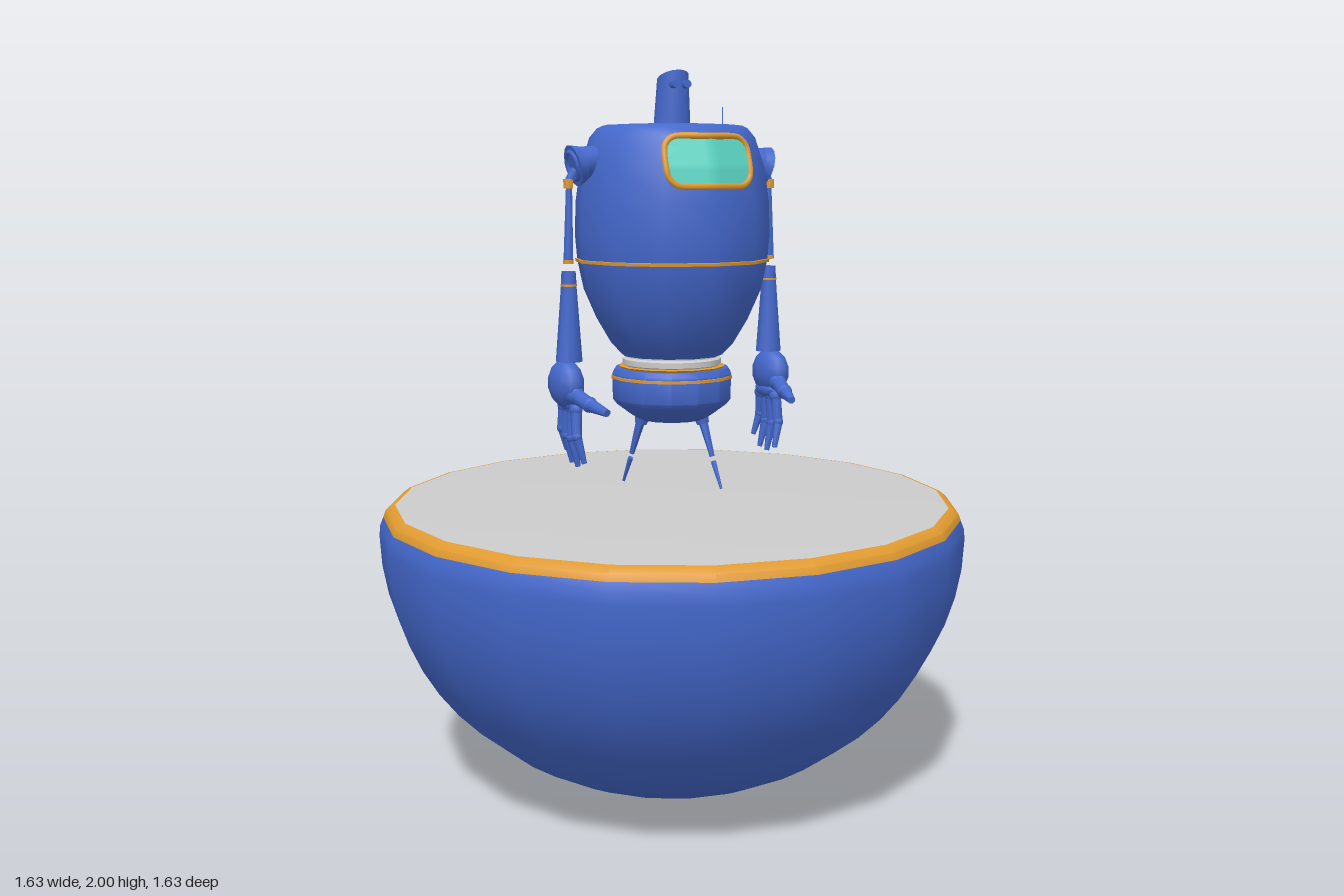
import * as THREE from 'three';
import { toCreasedNormals } from 'three/addons/utils/BufferGeometryUtils.js';

const paint = (color) => new THREE.MeshStandardMaterial({ color });
const V = (x, y, z) => new THREE.Vector3(x, y, z);

export function createModel() {
  const root = new THREE.Group();
  const blue = paint(0x4468cc), orange = paint(0xe09a30), grey = paint(0xcccccc), teal = paint(0x5cd6c4);
  teal.side = THREE.DoubleSide;

  const add = (name, geo, mat, parent = root) => {
    const mesh = new THREE.Mesh(geo, mat);
    mesh.name = name;
    parent.add(mesh);
    return mesh;
  };
  // Turned part; profile runs from bottom to top as [radius, y]
  const turned = (name, profile, sides, mat, crease = 0.65) => add(name, toCreasedNormals(
    new THREE.LatheGeometry(profile.map(([r, y]) => new THREE.Vector2(r, y)), sides), crease), mat);
  // Tapered rod between two points
  const rod = (name, a, b, ra, rb, mat, parent, sides = 8) => {
    const mesh = add(name, toCreasedNormals(new THREE.CylinderGeometry(rb, ra, a.distanceTo(b), sides), 0.9), mat, parent);
    mesh.position.copy(a).add(b).multiplyScalar(0.5);
    mesh.quaternion.setFromUnitVectors(V(0, 1, 0), b.clone().sub(a).normalize());
    return mesh;
  };
  const ball = (name, p, r, mat, parent, sx = 1, sy = 1, sz = 1) => {
    const mesh = add(name, new THREE.SphereGeometry(r, 10, 7), mat, parent);
    mesh.position.copy(p);
    mesh.scale.set(sx, sy, sz);
    return mesh;
  };

  // Half-sphere base with chamfered rim and flat lid
  const bowl = [];
  for (let i = 0; i <= 14; i++) {
    const t = (i / 14) * Math.PI / 2;
    bowl.push([0.815 * Math.sin(t), 0.735 * (1 - Math.cos(t))]);
  }
  bowl.push([0.813, 0.765], [0.803, 0.79]);
  turned('bowl', bowl, 20, blue);
  turned('bowlRim', [[0.803, 0.79], [0.797, 0.808], [0.778, 0.822], [0.77, 0.823]], 20, orange);
  turned('bowlLid', [[0.775, 0.822], [0.74, 0.824], [0, 0.825]], 20, grey);

  // Barrel torso with a recessed neck socket
  const torso = [[0, 1.23], [0.14, 1.23], [0.17, 1.262], [0.21, 1.33], [0.245, 1.41], [0.262, 1.49],
    [0.268, 1.56], [0.265, 1.65], [0.252, 1.74], [0.226, 1.82], [0.205, 1.845], [0.19, 1.852],
    [0.15, 1.854], [0.147, 1.848], [0.07, 1.848], [0.064, 1.82], [0, 1.82]];
  turned('torso', torso, 12, blue);
  turned('torsoSeam', [[0.255, 1.484], [0.267, 1.486], [0.268, 1.494], [0.255, 1.496]], 12, orange);

  // Waist and hips
  turned('waist', [[0.125, 1.17], [0.13, 1.2], [0.137, 1.205], [0.137, 1.22], [0.128, 1.225], [0.128, 1.24]], 16, grey);
  turned('hips', [[0, 1.045], [0.09, 1.05], [0.115, 1.065], [0.155, 1.095], [0.167, 1.11], [0.168, 1.18],
    [0.158, 1.195], [0.14, 1.195], [0.12, 1.18]], 14, blue);
  turned('hipsSeam', [[0.16, 1.166], [0.1705, 1.167], [0.1705, 1.175], [0.16, 1.176]], 14, orange);
  turned('waistCollar', [[0.14, 1.193], [0.148, 1.2], [0.14, 1.203], [0.125, 1.2]], 14, orange);

  // Slant-topped head with two small eyes and an aerial
  const head = new THREE.CylinderGeometry(0.043, 0.053, 0.16, 14, 2);
  const hp = head.attributes.position;
  for (let i = 0; i < hp.count; i++) {
    const up = (hp.getY(i) + 0.08) / 0.16;
    hp.setZ(i, hp.getZ(i) + 0.006 * up);
    hp.setY(i, 1.82 + up * (0.157 + 0.42 * hp.getZ(i)));
  }
  add('head', toCreasedNormals(head, 0.7), blue);
  for (const s of [-1, 1]) {
    rod('eye', V(s * 0.017, 1.958, 0.03), V(s * 0.017, 1.96, 0.064), 0.011, 0.011, blue, root, 10);
  }
  rod('aerial', V(0.165, 1.84, -0.02), V(0.165, 1.905, -0.02), 0.0015, 0.0015, blue, root, 5);

  // Visor wrapped over the faceted front of the torso
  const frontZ = (x, y) => {
    const k = torso.findIndex((p, i) => i > 1 && p[1] >= y);
    const [r0, y0] = torso[k - 1], [r1, y1] = torso[k];
    const r = r0 + (r1 - r0) * (y - y0) / (y1 - y0), ax = Math.abs(x);
    return Math.min(r - 0.268 * ax, 1.366 * r - ax);
  };
  const HX = 0.121, HY = 0.064, CR = 0.04, CY = 1.755;
  const pane = new THREE.PlaneGeometry(2, 2 * HY, 12, 16);
  const pp = pane.attributes.position;
  for (let i = 0; i < pp.count; i++) {
    const dy = Math.max(0, Math.abs(pp.getY(i)) - (HY - CR));
    const x = pp.getX(i) * (HX - CR + Math.sqrt(Math.max(0, CR * CR - dy * dy)));
    const y = CY + pp.getY(i);
    pp.setXYZ(i, x, y, frontZ(x, y) + 0.006);
  }
  pane.computeVertexNormals();
  add('visorPane', pane, teal);
  const outline = [];
  for (let c = 0; c < 4; c++) {
    const sx = c === 0 || c === 3 ? 1 : -1, sy = c < 2 ? 1 : -1;
    for (let k = 0; k <= 4; k++) {
      const a = (c + k / 4) * Math.PI / 2;
      const x = sx * (HX - CR) + CR * Math.cos(a), y = CY + sy * (HY - CR) + CR * Math.sin(a);
      outline.push(V(x, y, frontZ(x, y) + 0.004));
    }
    if (c % 2 === 0) {
      const y = CY + sy * HY;
      outline.push(V(0, y, frontZ(0, y) + 0.004));
    }
  }
  add('visorFrame', new THREE.TubeGeometry(new THREE.CatmullRomCurve3(outline, true), 72, 0.009, 6, true), orange);

  // Arms, built once per side
  for (const s of [-1, 1]) {
    const arm = new THREE.Group();
    arm.name = s > 0 ? 'leftArm' : 'rightArm';
    root.add(arm);
    const P = (x, y, z) => V(s * x, y, z);

    // Flared shoulder with a ringed socket
    rod('shoulder', P(0.2, 1.765, 0), P(0.272, 1.748, 0), 0.036, 0.047, blue, arm, 14);
    rod('shoulderFlare', P(0.265, 1.75, 0), P(0.288, 1.744, 0), 0.047, 0.056, blue, arm, 14);
    const ring = add('shoulderRing', new THREE.TorusGeometry(0.037, 0.007, 6, 14), blue, arm);
    ring.position.copy(P(0.289, 1.744, 0));
    ring.quaternion.setFromUnitVectors(V(0, 0, 1), P(0.966, -0.26, 0).normalize());

    // Upper arm, elbow and forearm
    rod('shoulderJoint', P(0.303, 1.685, 0), P(0.303, 1.71, 0), 0.014, 0.014, orange, arm);
    rod('jointPin', P(0.285, 1.735, 0), P(0.303, 1.7, 0), 0.012, 0.012, blue, arm);
    rod('upperArm', P(0.305, 1.495, 0), P(0.301, 1.685, 0), 0.014, 0.009, blue, arm);
    rod('elbowBand', P(0.305, 1.487, 0), P(0.305, 1.497, 0), 0.015, 0.015, orange, arm);
    rod('forearmCap', P(0.305, 1.433, 0), P(0.305, 1.467, 0), 0.021, 0.019, blue, arm, 10);
    rod('forearmBand', P(0.305, 1.427, 0), P(0.305, 1.433, 0), 0.022, 0.022, orange, arm, 10);
    rod('forearm', P(0.306, 1.225, 0), P(0.305, 1.427, 0), 0.036, 0.021, blue, arm, 10);

    // Palm, thumb and four jointed fingers
    ball('palm', P(0.315, 1.165, -0.002), 0.07, blue, arm, 0.64, 0.95, 1.06);
    ball('knuckles', P(0.305, 1.115, 0), 0.05, blue, arm, 0.55, 0.5, 1.15);
    const digit = (name, a, b, c, r) => {
      ball(name + 'Knuckle', a, r * 1.15, blue, arm);
      rod(name + 'Base', a, b, r, r * 0.85, blue, arm);
      ball(name + 'Joint', b, r * 0.95, blue, arm);
      rod(name + 'Tip', b, c, r * 0.85, r * 0.45, blue, arm);
    };
    digit('thumb', P(0.31, 1.14, 0.05), P(0.295, 1.122, 0.115), P(0.276, 1.108, 0.19), 0.023);
    [[0.045, 0.068, 0.955], [0.016, 0.022, 0.94], [-0.014, -0.02, 0.945], [-0.042, -0.06, 0.975]]
      .forEach(([z0, z1, tip]) => digit('finger', P(0.306, 1.1, z0),
        P(0.309, (1.1 + tip) / 2, (z0 + z1) / 2), P(0.292, tip, z1), 0.016));
  }

  // Two thin hanging struts, set diagonally under the hips
  for (const s of [-1, 1]) {
    rod('strutSocket', V(s * 0.07, 1.07, s * 0.035), V(s * 0.077, 1.035, s * 0.042), 0.024, 0.018, blue, root);
    rod('upperStrut', V(s * 0.077, 1.04, s * 0.042), V(s * 0.092, 0.945, s * 0.07), 0.013, 0.007, blue, root, 6);
    rod('lowerStrut', V(s * 0.093, 0.932, s * 0.075), V(s * 0.1, 0.86, s * 0.11), 0.008, 0.004, blue, root, 6);
  }
  return root;
}
